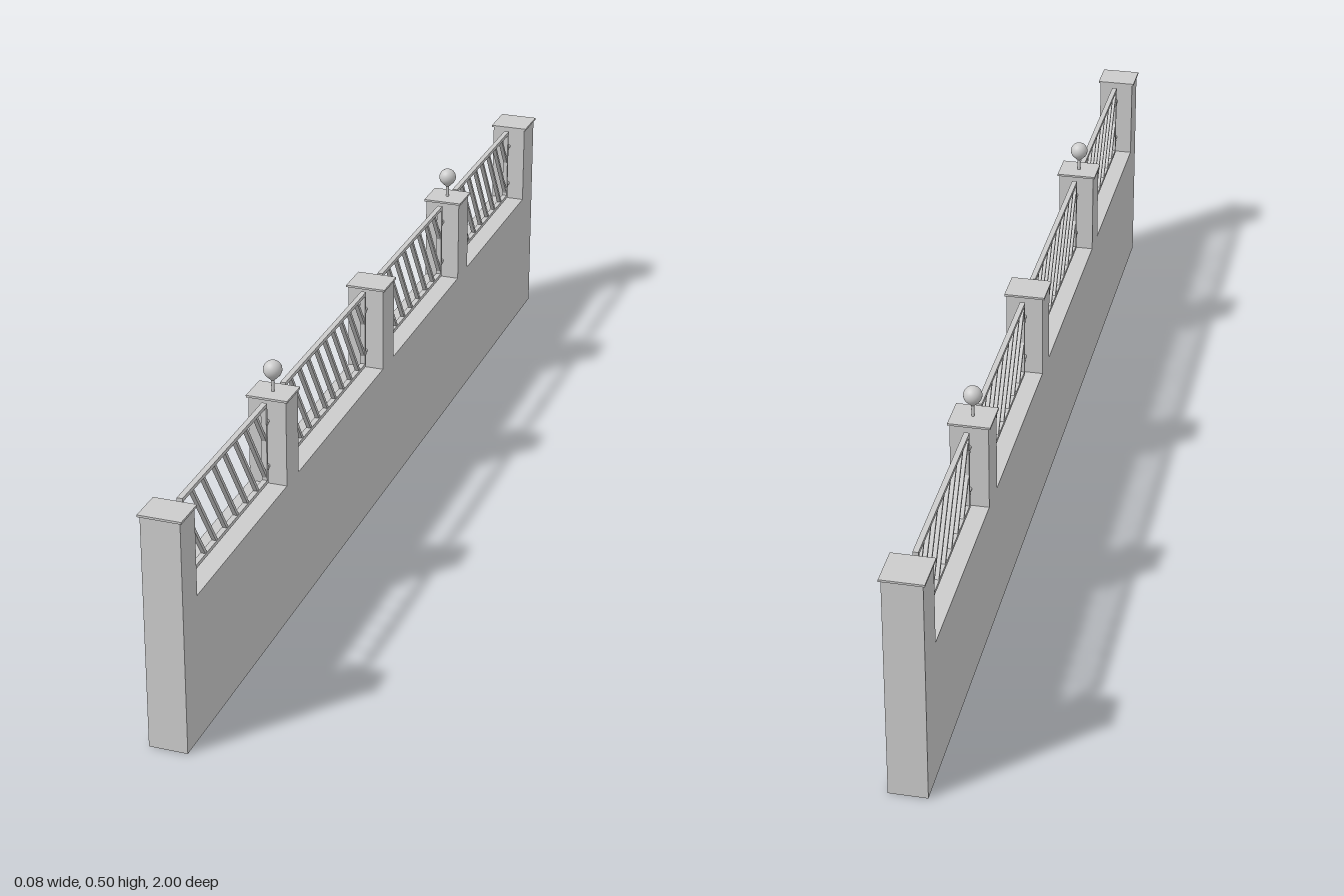
import * as THREE from 'three';

const material = new THREE.MeshStandardMaterial({ color: 0xcccccc });

// z ranges of the pillars and of the railing panels, back to front
const pillars = [[-0.997, -0.925], [-0.517, -0.453], [-0.045, 0.018], [0.473, 0.531], [0.938, 0.997]];
const panels = [[-0.907, -0.535], [-0.437, -0.064], [0.03, 0.455], [0.543, 0.917]];
const WALL_TOP = 0.27, PILLAR_TOP = 0.433, HALF = 0.035;
const RAIL_LOW = 0.281, RAIL_HIGH = 0.429;

function add(parent, name, geometry, x = 0, y = 0, z = 0) {
  const mesh = new THREE.Mesh(geometry, material);
  mesh.name = name;
  mesh.position.set(x, y, z);
  parent.add(mesh);
  return mesh;
}

// Bar with a rectangular section between two points in the z-y plane
function bar(parent, name, z1, y1, z2, y2, width, depth) {
  const length = Math.hypot(z2 - z1, y2 - y1);
  const mesh = add(parent, name, new THREE.BoxGeometry(depth, length, width), 0, (y1 + y2) / 2, (z1 + z2) / 2);
  mesh.rotation.x = Math.atan2(z2 - z1, y2 - y1);
}

// Wall and pillars as one battlement-shaped slab
function wallGeometry() {
  const shape = new THREE.Shape();
  shape.moveTo(-0.997, 0);
  shape.lineTo(0.997, 0);
  for (const [a, b] of [...pillars].reverse()) {
    if (b < 0.99) shape.lineTo(b, WALL_TOP);
    shape.lineTo(b, PILLAR_TOP);
    shape.lineTo(a, PILLAR_TOP);
    if (a > -0.99) shape.lineTo(a, WALL_TOP);
  }
  const geometry = new THREE.ExtrudeGeometry(shape, { depth: 2 * HALF, bevelEnabled: false });
  return geometry.translate(0, 0, -HALF).rotateY(-Math.PI / 2);
}

// Framed panel with slanted bars clipped to the frame
function makePanel([a, b]) {
  const panel = new THREE.Group();
  panel.name = 'railingPanel';
  for (const y of [RAIL_LOW, RAIL_HIGH]) bar(panel, 'rail', a, y, b, y, 0.007, 0.01);
  for (const z of [a + 0.003, b - 0.003]) bar(panel, 'frameUpright', z, RAIL_LOW, z, RAIL_HIGH, 0.006, 0.01);

  const slope = 0.66, height = RAIL_HIGH - RAIL_LOW, run = slope * height;
  const count = Math.round((b - a + run) / 0.045);
  for (let i = 1; i < count; i++) {
    const z0 = a - run + (b - a + run) * i / count;
    const zLow = Math.max(z0, a), zHigh = Math.min(z0 + run, b);
    bar(panel, 'slantedBar', zLow, RAIL_LOW + (zLow - z0) / slope,
      zHigh, RAIL_LOW + (zHigh - z0) / slope, 0.006, 0.008);
  }
  return panel;
}

// Short pin with a collar, joining a panel to a pillar
function addMount(parent, z1, z2, y) {
  const z = (z1 + z2) / 2;
  add(parent, 'mountPin', new THREE.CylinderGeometry(0.004, 0.004, Math.abs(z2 - z1) + 0.004, 10).rotateX(Math.PI / 2), 0, y, z);
  add(parent, 'mountCollar', new THREE.CylinderGeometry(0.006, 0.006, 0.004, 12).rotateX(Math.PI / 2), 0, y, z2);
}

// Ball on a stem with a small cup
function makeFinial(z) {
  const finial = new THREE.Group();
  finial.name = 'finial';
  finial.position.set(0, PILLAR_TOP + 0.004, z);
  add(finial, 'finialStem', new THREE.CylinderGeometry(0.003, 0.003, 0.028, 12), 0, 0.014, 0);
  add(finial, 'finialCup', new THREE.CylinderGeometry(0.012, 0.004, 0.008, 20), 0, 0.026, 0);
  add(finial, 'finialBall', new THREE.SphereGeometry(0.017, 24, 16), 0, 0.042, 0);
  return finial;
}

export function createModel() {
  const model = new THREE.Group();
  model.name = 'gardenWall';
  add(model, 'wallWithPillars', wallGeometry());

  pillars.forEach(([a, b], i) => {
    const z = (a + b) / 2;
    add(model, 'pillarCap', new THREE.BoxGeometry(0.077, 0.004, b - a + 0.006), 0, PILLAR_TOP + 0.002, z);
    if (i % 2 === 1) model.add(makeFinial(z));
  });

  panels.forEach((range, i) => {
    model.add(makePanel(range));
    for (const y of [0.305, 0.392]) {
      addMount(model, pillars[i][1], range[0], y);
      addMount(model, pillars[i + 1][0], range[1], y);
    }
  });
  return model;
}
